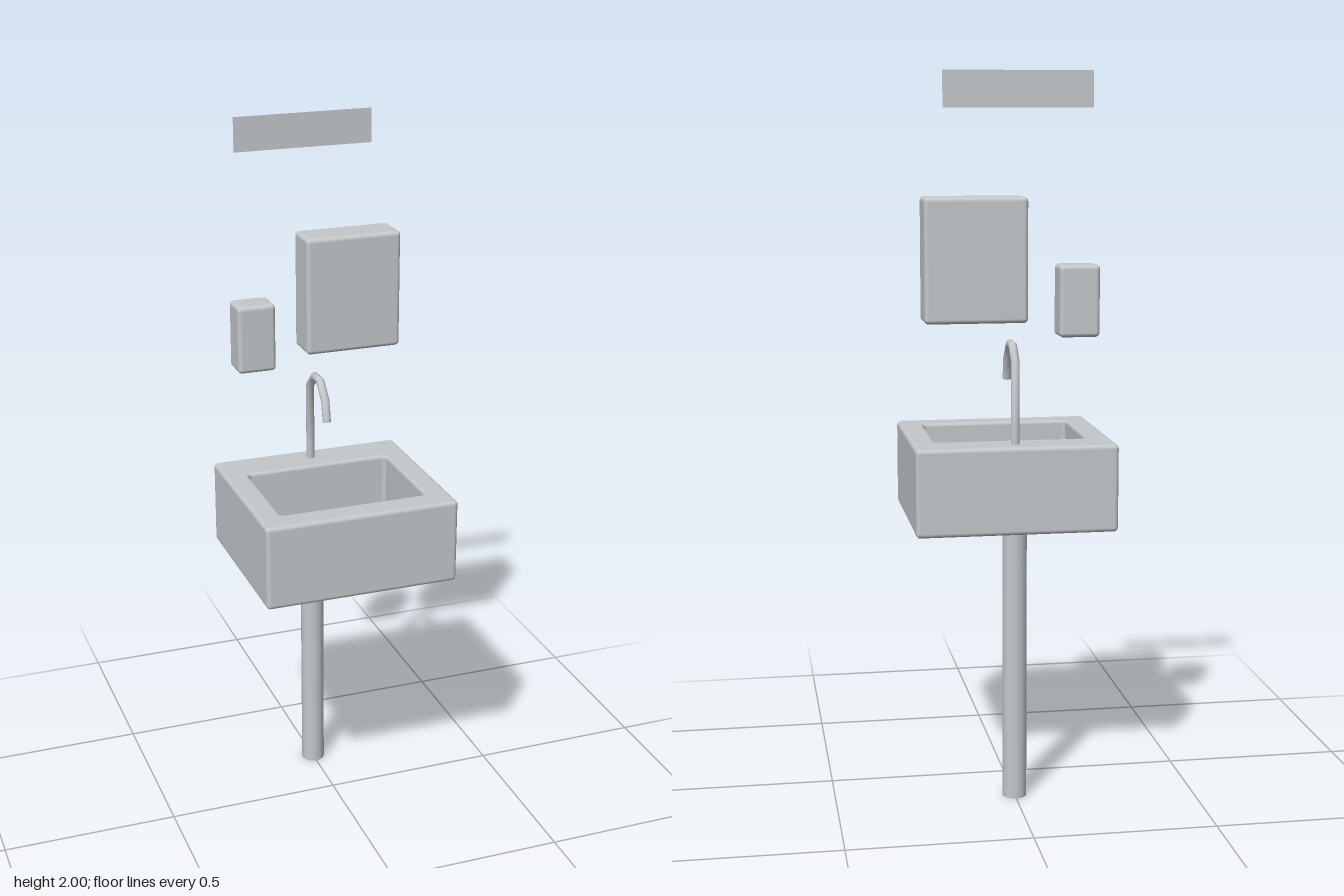
import * as THREE from 'three';
import { RoundedBoxGeometry } from 'three/addons/geometries/RoundedBoxGeometry.js';

// Lofts rounded-rectangle rings. Each row: { w, d, z, r, y, t }
// w, d = half spans between corner centres, r = corner radius, t = tilt of the normal.
function loftRings(rows, steps = 4) {
  const pos = [], nor = [], idx = [];
  const n = 4 * (steps + 1);
  const signs = [[1, 1], [-1, 1], [-1, -1], [1, -1]];
  for (const { w, d, z, r, y, t } of rows) {
    signs.forEach(([sx, sz], c) => {
      for (let k = 0; k <= steps; k++) {
        const a = (c + k / steps) * Math.PI / 2;
        const cx = Math.cos(a), cz = Math.sin(a);
        pos.push(sx * w + r * cx, y, z + sz * d + r * cz);
        nor.push(Math.cos(t) * cx, Math.sin(t), Math.cos(t) * cz);
      }
    });
  }
  for (let i = 0; i < rows.length - 1; i++) {
    for (let j = 0; j < n; j++) {
      const a = i * n + j, b = i * n + (j + 1) % n;
      idx.push(a, a + n, b, b, a + n, b + n);
    }
  }
  const g = new THREE.BufferGeometry();
  g.setAttribute('position', new THREE.Float32BufferAttribute(pos, 3));
  g.setAttribute('normal', new THREE.Float32BufferAttribute(nor, 3));
  g.setIndex(idx);
  return g;
}

// Basin shell: underside, rounded outer wall, flat rim, rounded lip, bowl wall and floor
function basinGeometry() {
  const bottom = 0.762, top = 1.005, floor = 0.845, f = 0.012, lip = 0.01;
  const outer = { w: 0.278 - f, d: 0.25 - f, z: 0 };
  const bowl = { w: 0.198, d: 0.139, z: 0.021 };
  const rows = [{ w: 0, d: 0, z: 0, r: 0, y: bottom, t: -Math.PI / 2 }];
  const arc = (base, from, to, radius, centreR, centreY) => {
    for (let k = 0; k <= 4; k++) {
      const t = from + (to - from) * k / 4;
      const sign = radius < 0 ? -1 : 1;
      rows.push({ ...base, r: centreR + radius * Math.cos(t), y: centreY + radius * Math.sin(t), t, sign });
    }
  };
  const q = Math.PI / 2;
  arc(outer, -q, 0, f, 0, bottom + f);
  arc(outer, 0, q, f, 0, top - f);
  arc(bowl, q, 2 * q, lip, 0.012 + lip, top - lip);
  // floor fillet is concave, so its normal points back to the arc centre
  arc(bowl, 2 * q, q, -lip, 0.012 - lip, floor + lip);
  rows.push({ w: 0, d: 0, z: bowl.z, r: 0, y: floor, t: q });
  return loftRings(rows);
}

// Straight-segment path with averaged directions at its bends
class BentPath extends THREE.Curve {
  constructor(points) {
    super();
    this.points = points;
  }
  index(u) {
    return Math.round(u * (this.points.length - 1));
  }
  getPoint(u, target = new THREE.Vector3()) {
    return target.copy(this.points[this.index(u)]);
  }
  getPointAt(u, target) {
    return this.getPoint(u, target);
  }
  getTangentAt(u, target = new THREE.Vector3()) {
    const p = this.points, i = this.index(u);
    target.set(0, 0, 0);
    if (i > 0) target.add(p[i].clone().sub(p[i - 1]).normalize());
    if (i < p.length - 1) target.add(p[i + 1].clone().sub(p[i]).normalize());
    return target.normalize();
  }
}

export function createModel() {
  const model = new THREE.Group();
  model.name = 'washStand';
  const grey = new THREE.MeshStandardMaterial({ color: 0xc4c8cb, side: THREE.DoubleSide });
  grey.name = 'light grey';

  const add = (name, geometry, x = 0, y = 0, z = 0, parent = model) => {
    const mesh = new THREE.Mesh(geometry, grey);
    mesh.name = name;
    mesh.position.set(x, y, z);
    parent.add(mesh);
    return mesh;
  };

  add('basin', basinGeometry());
  add('drainPipe', new THREE.CylinderGeometry(0.034, 0.034, 0.765, 16), 0, 0.3825, -0.185);

  // Gooseneck tap, as [y, z] bends
  const tap = new THREE.Group();
  tap.name = 'tap';
  model.add(tap);
  const bends = [[0.995, -0.194], [1.01, -0.194], [1.228, -0.194], [1.269, -0.152],
    [1.269, -0.106], [1.226, -0.064], [1.165, -0.051]]
    .map(([y, z]) => new THREE.Vector3(0, y, z));
  const path = new BentPath(bends);
  add('spout', new THREE.TubeGeometry(path, bends.length - 1, 0.012, 12), 0, 0, 0, tap);
  const tip = add('spoutEnd', new THREE.CircleGeometry(0.012, 12), 0, 1.165, -0.051, tap);
  tip.quaternion.setFromUnitVectors(new THREE.Vector3(0, 0, 1), path.getTangentAt(1));

  // Wall-mounted boxes
  add('towelDispenser', new RoundedBoxGeometry(0.278, 0.334, 0.11, 4, 0.012), 0.111, 1.506, -0.186);
  add('soapDispenser', new RoundedBoxGeometry(0.11, 0.194, 0.088, 4, 0.012), -0.168, 1.395, -0.197);

  // Flat sign plate on the wall plane
  add('wallSign', new THREE.PlaneGeometry(0.4, 0.096), 0, 1.952, -0.24);

  return model;
}
